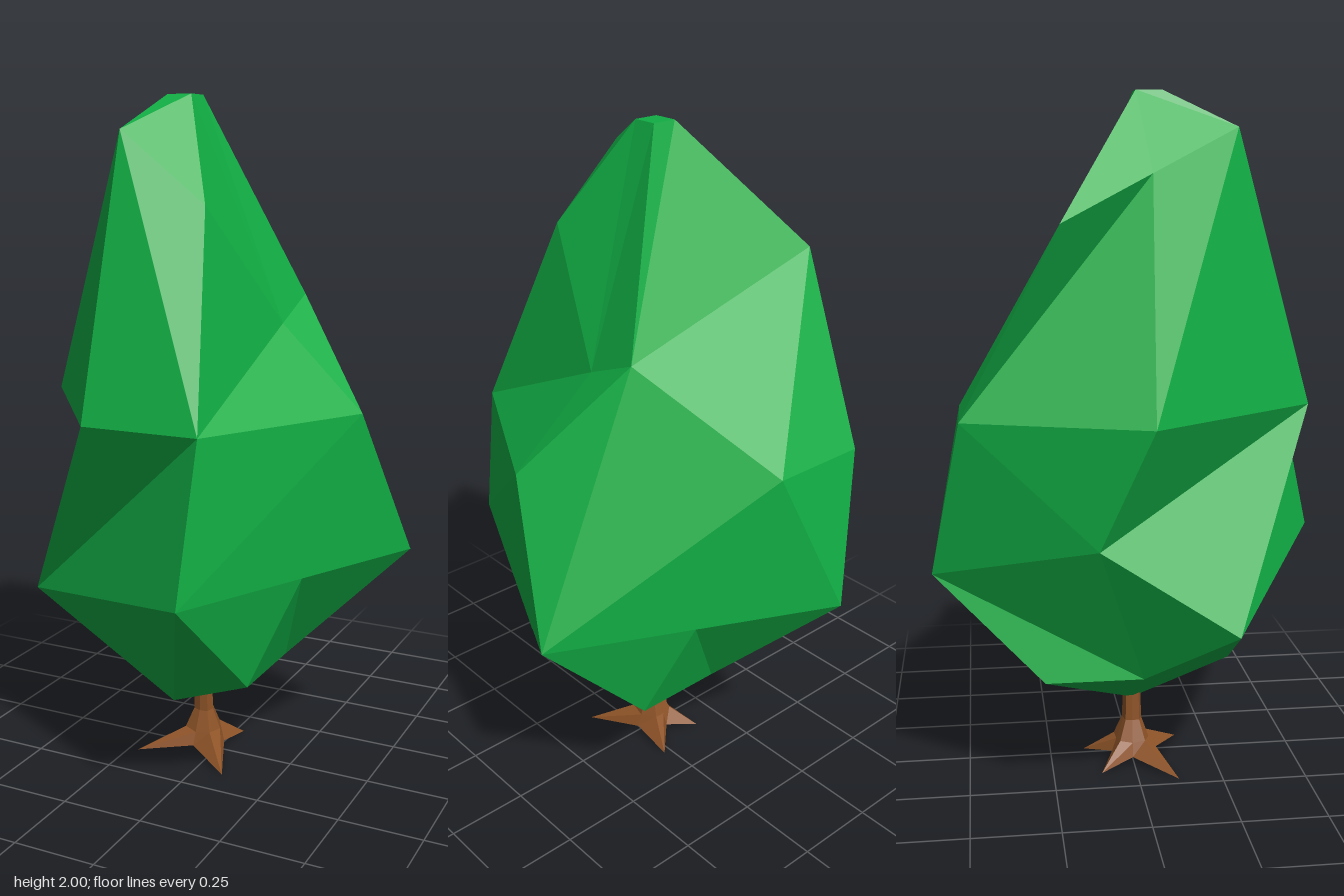
import * as THREE from 'three';

// Flat-shaded mesh from triangles, each given as three corner points
function facetMesh(name, triangles, material) {
  const geometry = new THREE.BufferGeometry();
  geometry.setAttribute('position', new THREE.Float32BufferAttribute(triangles.flat(2), 3));
  geometry.computeVertexNormals();
  const mesh = new THREE.Mesh(geometry, material);
  mesh.name = name;
  return mesh;
}

// Crown: named corners, joined by polygons that are fanned into triangles
function createCrown(material) {
  const mid = (p, q) => p.map((v, n) => (v + q[n]) / 2);
  const corner = {
    // small flat top
    s: [-0.12, 2, 0.075], t: [-0.045, 2, 0.075], y: [-0.045, 2, 0], z: [-0.12, 2, 0],
    // shoulders
    c: [-0.155, 1.9, 0.285], d: [0.09, 1.7, 0.26], h: [0.2, 1.36, -0.02],
    g: [0.2, 1.43, -0.19], Q: [-0.43, 1.64, -0.235],
    // middle
    a: [-0.55, 1.12, 0], b: [-0.165, 1.12, 0.5], e: [0.185, 1.12, 0.5],
    f: [0.455, 1.12, 0], U: [-0.07, 1.12, -0.505], R: [-0.37, 1.12, -0.505],
    // widest points
    i: [0.545, 0.675, -0.21], j: [0.165, 0.675, 0.59], A: [-0.26, 0.675, -0.59],
    k: [-0.5, 0.535, 0.24], v: [-0.47, 0.78, -0.14],
    // underside
    p: [0.23, 0.36, 0.28], l: [0.23, 0.36, 0], r: [0.23, 0.36, -0.28],
    q: [-0.045, 0.36, -0.28], u: [-0.32, 0.36, -0.28], n: [-0.32, 0.36, 0],
    m: [0.01, 0.29, 0.31], o: [-0.045, 0.195, 0],
  };
  corner.P = mid(corner.Q, corner.c);
  corner.x = mid(corner.i, corner.j);
  corner.w = mid(corner.i, corner.A);

  const faces = [
    'styz', 'sct', 'cdt', 'cbe', 'ced', 'kjeb',              // top and front
    'knm', 'kmj', 'jmp', 'jpx', 'xpl', 'xli', 'ilr',         // lower front and +x
    'ejf', 'fjx', 'fxi', 'deh', 'efh', 'tdh', 'thy', 'yhg',  // +x side
    'hfg', 'gfi', 'giU', 'Uiw', 'UwA', 'UAR',
    'ygz', 'gQz', 'gUQ', 'URQ', 'irw', 'wrq', 'wqA', 'Aqu',  // back
    'zQPcs', 'QRP', 'aPR', 'abcP', 'RAv', 'Rva',             // -x side
    'avb', 'vkb', 'vnk', 'Anv', 'Aun',
    'mno', 'pmo', 'lpo', 'rlo', 'qro', 'uqo', 'nuo',         // underside
  ];
  const triangles = [];
  for (const face of faces) {
    // the fan starts at the first letter
    const pts = [...face].map((key) => corner[key]);
    for (let n = 1; n < pts.length - 1; n++) triangles.push([pts[0], pts[n], pts[n + 1]]);
  }
  return facetMesh('crown', triangles, material);
}

// Trunk: eight-sided rings flaring into four pointed roots
function createTrunk(material) {
  const cx = -0.045, cz = 0;
  const tips = [[-0.22, 0.12], [0.09, 0.155], [0.025, -0.145], [-0.155, -0.105]];
  const spokes = [];
  tips.forEach(([x, z], n) => {
    const [nx, nz] = tips[(n + 1) % 4];
    const here = Math.atan2(z - cz, x - cx);
    let next = Math.atan2(nz - cz, nx - cx);
    while (next > here) next -= Math.PI * 2;
    spokes.push({ angle: here, reach: Math.hypot(x - cx, z - cz), root: true });
    spokes.push({ angle: (here + next) / 2, reach: 0.065, root: false });
  });
  const ring = (y, tipY, radius) => spokes.map(({ angle, reach, root }) => {
    const r = radius === null ? reach : root ? radius : radius * 0.85;
    return [cx + r * Math.cos(angle), root ? tipY : y, cz + r * Math.sin(angle)];
  });
  const rings = [
    ring(0.025, 0, null),
    ring(0.065, 0.07, 0.06),
    ring(0.13, 0.13, 0.033),
    ring(0.22, 0.22, 0.03),
  ];
  const triangles = [];
  for (let n = 0; n < 8; n++) {
    const k = (n + 1) % 8;
    for (let r = 0; r < 3; r++) {
      const lo = rings[r], hi = rings[r + 1];
      triangles.push([lo[n], lo[k], hi[k]], [lo[n], hi[k], hi[n]]);
    }
    triangles.push([[cx, 0.03, cz], rings[0][k], rings[0][n]]); // underside
  }
  return facetMesh('trunk', triangles, material);
}

export function createModel() {
  const leafGreen = new THREE.MeshStandardMaterial({ color: 0x11ad44 });
  leafGreen.name = 'leafGreen';
  const barkBrown = new THREE.MeshStandardMaterial({ color: 0x8f5428 });
  barkBrown.name = 'barkBrown';
  for (const material of [leafGreen, barkBrown]) material.flatShading = true;

  const tree = new THREE.Group();
  tree.name = 'tree';
  tree.add(createCrown(leafGreen), createTrunk(barkBrown));
  return tree;
}
